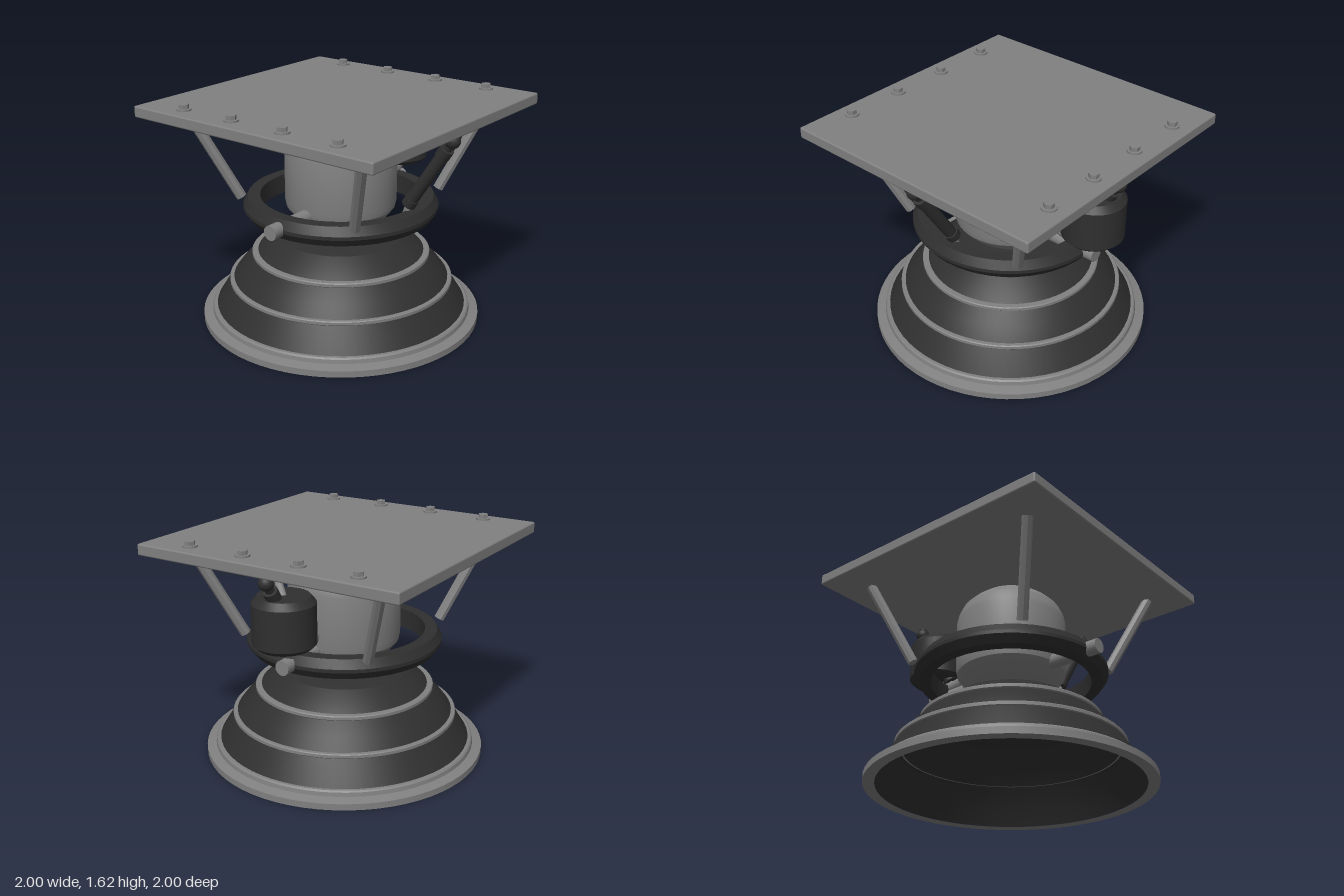
import * as THREE from 'three';
import { toCreasedNormals } from 'three/addons/utils/BufferGeometryUtils.js';
import { RoundedBoxGeometry } from 'three/addons/geometries/RoundedBoxGeometry.js';

const grey = new THREE.MeshStandardMaterial({ color: 0x808080 });
grey.name = 'steel grey';
const black = new THREE.MeshStandardMaterial({ color: 0x2f2f2f });
black.name = 'charcoal';

const V = (x, y, z) => new THREE.Vector3(x, y, z);

function mesh(name, geometry, material) {
  const m = new THREE.Mesh(geometry, material);
  m.name = name;
  return m;
}

// Profile of [radius, height] pairs turned around the y axis, with crisp steps
function lathe(name, profile, material, segments = 48) {
  const points = profile.map(([r, y]) => new THREE.Vector2(r, y));
  return mesh(name, toCreasedNormals(new THREE.LatheGeometry(points, segments), 0.3), material);
}

// Straight bar between two points
function rod(name, a, b, radius, material, sides = 16) {
  const dir = b.clone().sub(a);
  const geometry = toCreasedNormals(new THREE.CylinderGeometry(radius, radius, dir.length(), sides), 0.6);
  const m = mesh(name, geometry, material);
  m.position.copy(a).add(b).multiplyScalar(0.5);
  m.quaternion.setFromUnitVectors(V(0, 1, 0), dir.normalize());
  return m;
}

function pipe(name, points, radius) {
  const curve = new THREE.CatmullRomCurve3(points);
  return mesh(name, new THREE.TubeGeometry(curve, 24, radius, 12), grey);
}

// Ball-jointed steering actuator leaning outward along +z
function actuator() {
  const g = new THREE.Group();
  g.name = 'actuator';
  const top = V(0, 1.455, 0.9), foot = V(0, 0.95, 0.575);
  const at = t => top.clone().lerp(foot, t);
  const ball = mesh('actuatorBall', new THREE.SphereGeometry(0.052, 16, 12), black);
  ball.position.copy(top);
  g.add(
    ball,
    rod('actuatorMount', top, V(0, 1.51, 0.9), 0.03, black),
    rod('actuatorNeck', top, at(0.2), 0.03, black),
    rod('actuatorCollar', at(0.12), at(0.24), 0.05, black),
    rod('actuatorCylinder', at(0.2), at(0.93), 0.043, black),
    rod('actuatorEnd', at(0.9), at(1), 0.05, black),
    rod('actuatorPin', at(0.95), V(0, 0.88, 0.555), 0.025, grey)
  );
  return g;
}

export function createModel() {
  const model = new THREE.Group();
  model.name = 'rocketEngine';

  // Mounting plate with two rows of bolts
  const plate = mesh('mountingPlate', new RoundedBoxGeometry(1.97, 0.08, 1.97, 2, 0.012), grey);
  plate.position.y = 1.545;
  model.add(plate);
  for (const x of [-0.855, 0.855]) {
    for (const z of [-0.64, -0.213, 0.213, 0.64]) {
      model.add(
        rod('boltWasher', V(x, 1.58, z), V(x, 1.597, z), 0.05, grey, 20),
        rod('boltHead', V(x, 1.59, z), V(x, 1.625, z), 0.035, grey, 6)
      );
    }
  }

  // Diagonal struts from plate to ring
  for (const sx of [-1, 1]) {
    for (const sz of [-1, 1]) {
      model.add(rod('strut', V(0.725 * sx, 1.505, 0.725 * sz), V(0.495 * sx, 0.91, 0.495 * sz), 0.038, grey, 8));
    }
  }

  // Combustion chamber and throat
  model.add(lathe('chamber', [
    [0, 0.66], [0.2, 0.67], [0.25, 0.7], [0.335, 0.77], [0.385, 0.83], [0.395, 0.88], [0.395, 1.235],
    [0.385, 1.28], [0.355, 1.345], [0.3, 1.4], [0.24, 1.445], [0, 1.445]
  ], grey));

  // Gimbal ring with its pivot shaft
  model.add(lathe('gimbalRing', [
    [0.57, 0.77], [0.65, 0.77], [0.69, 0.825], [0.69, 0.85], [0.655, 0.91], [0.57, 0.91], [0.57, 0.77]
  ], black));
  model.add(rod('gimbalShaft', V(-0.757, 0.84, 0), V(0.757, 0.84, 0), 0.052, grey, 20));

  // Nozzle bell, outside then inside
  model.add(lathe('nozzleBell', [
    [0.9, 0.05], [0.9, 0.1], [0.79, 0.275], [0.71, 0.38], [0.61, 0.48], [0.53, 0.55], [0.445, 0.607], [0.2, 0.68],
    [0, 0.68], [0, 0.66], [0.2, 0.66], [0.43, 0.585], [0.59, 0.46], [0.69, 0.36], [0.77, 0.26],
    [0.87, 0.1], [0.92, 0.002]
  ], black, 64));

  // Stiffening bands and stepped bottom flange
  for (const [r, y] of [[0.637, 0.478], [0.803, 0.282]]) {
    model.add(lathe('nozzleBand', [
      [r - 0.05, y - 0.016], [r - 0.006, y - 0.016], [r, y - 0.01], [r, y + 0.01],
      [r - 0.006, y + 0.016], [r - 0.05, y + 0.016]
    ], grey, 64));
  }
  model.add(lathe('nozzleFlange', [
    [0.92, 0], [1, 0], [1, 0.045], [0.935, 0.062], [0.93, 0.09], [0.92, 0.1], [0.88, 0.1]
  ], grey, 64));

  // Side tank
  const tank = lathe('sideTank', [
    [0, 0.98], [0.18, 0.98], [0.212, 1.01], [0.212, 1.285], [0.175, 1.33], [0, 1.33]
  ], black, 32);
  tank.position.x = 0.72;
  model.add(tank);

  // Feed pipes above and below the tank
  model.add(pipe('upperPipe', [
    V(0.03, 1.478, 0.39), V(0.28, 1.478, 0.37), V(0.5, 1.45, 0.25), V(0.66, 1.405, 0.09), V(0.72, 1.3, 0)
  ], 0.028));
  model.add(pipe('lowerPipe', [
    V(0.36, 0.98, 0), V(0.45, 0.925, 0), V(0.56, 0.905, 0), V(0.66, 0.925, 0), V(0.745, 0.99, 0)
  ], 0.05));

  // Actuators at the front and on the left side
  const front = actuator();
  const side = actuator();
  side.rotation.y = Math.PI / 2;
  model.add(front, side);

  return model;
}
